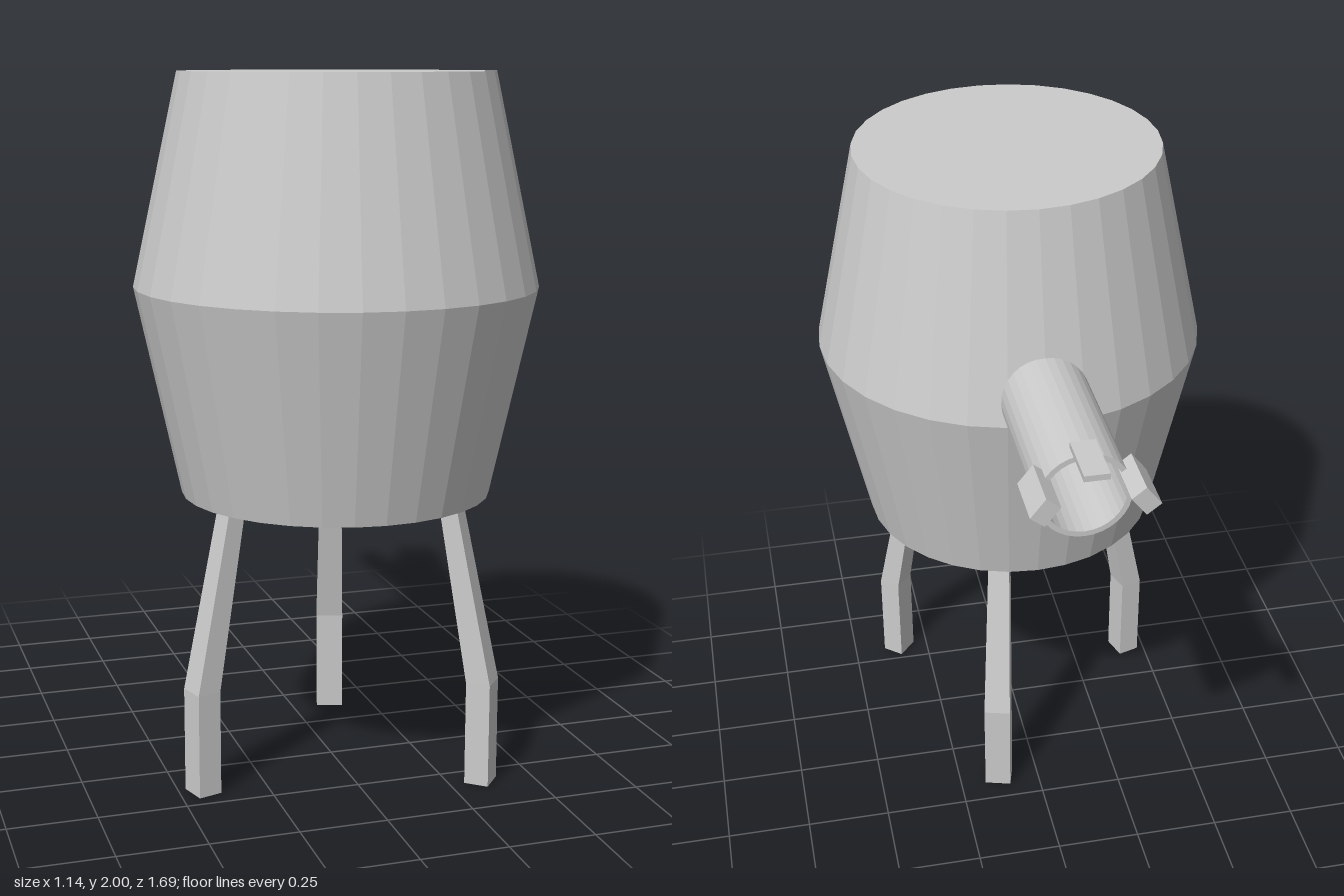
import * as THREE from 'three';

const material = new THREE.MeshStandardMaterial({
  color: 0xcccccc, flatShading: true, side: THREE.DoubleSide,
});

const BODY_Z = 0.28; // axis of the barrel
const PIPE_Y = 1.475; // axis of the pipe

function part(name, geometry, parent) {
  const mesh = new THREE.Mesh(geometry, material);
  mesh.name = name;
  parent.add(mesh);
  return mesh;
}

function lathe(points, segments) {
  return new THREE.LatheGeometry(points.map(([r, y]) => new THREE.Vector2(r, y)), segments);
}

// Tapered, bent leg: rows of [y, distance from axis, thickness, width], top to foot
function legGeometry() {
  const rows = [[0.84, 0.345, 0.05, 0.062], [0.3, 0.452, 0.07, 0.08], [0, 0.452, 0.07, 0.08]];
  const geometry = new THREE.BoxGeometry(1, 2, 1, 1, 2, 1);
  const pos = geometry.attributes.position;
  for (let i = 0; i < pos.count; i++) {
    const [y, r, t, w] = rows[Math.round(1 - pos.getY(i))];
    pos.setXYZ(i, r + pos.getX(i) * t, y, pos.getZ(i) * w);
  }
  geometry.computeVertexNormals();
  return geometry;
}

export function createModel() {
  const model = new THREE.Group();
  model.name = 'barrelOnLegs';

  // Double-tapered closed barrel
  const barrel = part('barrel',
    lathe([[0, 0.82], [0.44, 0.82], [0.568, 1.41], [0.44, 2], [0, 2]], 32), model);
  barrel.position.z = BODY_Z;

  // Three legs spread around the barrel axis
  const legs = new THREE.Group();
  legs.name = 'legs';
  legs.position.z = BODY_Z;
  model.add(legs);
  [40, 163, -74].forEach((deg, i) => {
    part('leg' + (i + 1), legGeometry(), legs).rotation.y = -THREE.MathUtils.degToRad(deg);
  });

  // Hollow pipe out of the back
  const pipe = part('pipe',
    lathe([[0.11, 0.2], [0.125, 0.2], [0.125, 0.73], [0.11, 0.73], [0.11, 0.2]], 32), model);
  pipe.rotation.x = -Math.PI / 2;
  pipe.position.y = PIPE_Y;

  // Prongs at the pipe mouth: one flat on top, one tilted on each side
  const prongs = new THREE.Group();
  prongs.name = 'prongs';
  prongs.position.set(0, PIPE_Y, -0.768);
  model.add(prongs);
  part('topProng', new THREE.BoxGeometry(0.067, 0.017, 0.157), prongs).position.y = 0.132;
  for (const side of [1, -1]) {
    const prong = part(side > 0 ? 'leftProng' : 'rightProng',
      new THREE.BoxGeometry(0.048, 0.066, 0.157), prongs);
    prong.position.set(side * 0.128, 0.045, 0);
    prong.rotation.z = side * THREE.MathUtils.degToRad(38);
  }

  return model;
}
